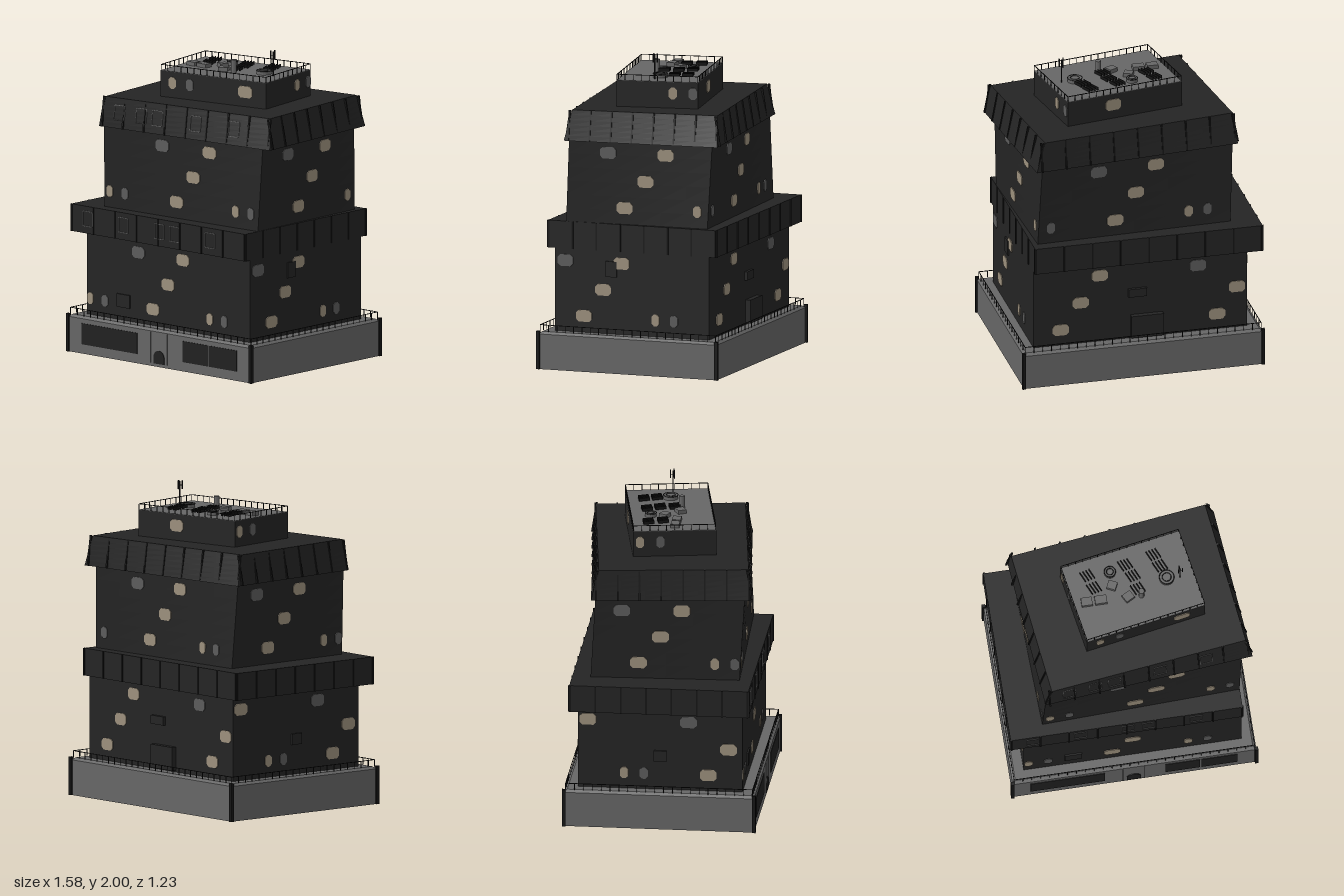
import * as THREE from 'three';

const mat = (name, color) => Object.assign(new THREE.MeshStandardMaterial({ color, flatShading: true }), { name });

export function createModel() {
  const M = {
    body: mat('charcoal wall', 0x242424),
    stone: mat('grey concrete', 0x666666),
    dark: mat('black metal', 0x151515),
    lit: mat('lit window', 0x9c907d),
    dim: mat('dim window', 0x5c5c5c),
    glass: mat('dark glass', 0x202020),
  };
  const root = new THREE.Group();
  const add = (parent, name, geo, m, x = 0, y = 0, z = 0) => {
    const mesh = new THREE.Mesh(geo, m);
    mesh.name = name;
    mesh.position.set(x, y, z);
    parent.add(mesh);
    return mesh;
  };
  const box = (w, h, d) => new THREE.BoxGeometry(w, h, d);

  // A storey runs from section s0 to s1; a section is [cx, cz, width, depth, degrees]
  const storey = (y0, y1, s0, s1 = s0) => ({ y0, y1, s0, s1 });
  const section = (p, y) => {
    const t = (y - p.y0) / (p.y1 - p.y0);
    const [cx, cz, w, d, a] = p.s0.map((v, i) => v + (p.s1[i] - v) * t);
    return { cx, cz, w, d, a: THREE.MathUtils.degToRad(a) };
  };
  const block = (name, p, m, n = 6) => {
    const g = new THREE.BoxGeometry(1, 1, 1, n, n, n);
    const pos = g.attributes.position;
    for (let i = 0; i < pos.count; i++) {
      const y = p.y0 + (pos.getY(i) + 0.5) * (p.y1 - p.y0);
      const s = section(p, y), x = pos.getX(i) * s.w, z = pos.getZ(i) * s.d;
      const c = Math.cos(s.a), k = Math.sin(s.a);
      pos.setXYZ(i, s.cx + x * c + z * k, y, s.cz - x * k + z * c);
    }
    g.computeVertexNormals();
    return add(root, name, g, m);
  };
  // Mount a piece on a wall: side 0 front, 1 at +x, 2 back, 3 at -x
  const mount = (p, side, u, y, name, geo, m) => {
    const s = section(p, y), odd = side % 2;
    const half = (odd ? s.w : s.d) / 2, a = s.a + side * Math.PI / 2;
    const i = odd ? 2 : 3;
    const lean = Math.atan((p.s0[i] - p.s1[i]) / 2 / (p.y1 - p.y0));
    const mesh = add(root, name, geo, m,
      s.cx + u * Math.cos(a) + half * Math.sin(a), y, s.cz - u * Math.sin(a) + half * Math.cos(a));
    mesh.rotation.set(-lean, a, 0, 'YXZ');
    return mesh;
  };

  // Main storeys, twisting more the higher they go
  const base = storey(0, 0.225, [0, 0, 1.56, 1.21, 0]);
  const lower = storey(0.24, 0.77, [0, 0, 1.395, 1.045, 0]);
  const band = storey(0.77, 0.945, [-0.045, 0, 1.485, 1.14, 0]);
  const upper = storey(0.945, 1.475, [0.045, -0.003, 1.27, 0.945, 2], [0.043, 0, 1.27, 0.945, 4.5]);
  const crown = storey(1.475, 1.67, [0.0625, -0.0075, 1.35, 1.008, 5.4], [0.055, -0.005, 1.274, 0.948, 7]);
  const attic = storey(1.67, 1.835, [0.084, -0.0175, 0.79, 0.527, 9.8]);
  block('base', base, M.stone, 1);
  block('baseRim', storey(0.225, 0.24, [0, 0, 1.56, 1.21, 0], [0, 0, 1.52, 1.17, 0]), M.stone, 1);
  block('lowerStorey', lower, M.body, 1);
  block('lowerBand', band, M.body, 1);
  block('upperStorey', upper, M.body);
  block('crownBand', crown, M.body);
  block('rooftopHouse', attic, M.body, 1);
  block('rooftopDeck', storey(1.835, 1.838, attic.s0), M.stone, 1);

  // Corner posts of the base
  for (const x of [-0.78, 0.78]) for (const z of [-0.605, 0.605])
    add(root, 'cornerPost', box(0.022, 0.245, 0.022), M.dark, x, 0.1225, z);

  // Windows: thin plates with clipped corners
  const windowShape = (w, h, c) => {
    const x = w / 2, y = h / 2;
    return new THREE.Shape([[-x + c, -y], [x - c, -y], [x, -y + c], [x, y - c], [x - c, y], [-x + c, y], [-x, y - c], [-x, -y + c]]
      .map(([a, b]) => new THREE.Vector2(a, b)));
  };
  const thin = { depth: 0.005, bevelEnabled: false };
  const wide = new THREE.ExtrudeGeometry(windowShape(0.106, 0.075, 0.018), thin);
  const narrow = new THREE.ExtrudeGeometry(windowShape(0.053, 0.075, 0.016), thin);
  const addWindow = (p, side, u, y, isWide, m) => mount(p, side, u, y, 'window', isWide ? wide : narrow, m);

  // Repeating window pattern: [u, row height, wide, lit]
  const pattern = [
    [-0.255, 0.455, 1, 0], [0.125, 0.455, 1, 1], [0, 0.28, 1, 1],
    [-0.13, 0.105, 1, 1], [0.355, 0.105, 0, 1], [0.48, 0.105, 0, 0],
  ];
  const fillWindows = (p, offsets, period) => offsets.forEach((off, side) => {
    const half = p.s0[side % 2 ? 3 : 2] / 2;
    for (const [u0, dy, w, on] of pattern)
      for (let k = -2; k <= 2; k++) {
        const u = u0 + off + k * period;
        if (Math.abs(u) + (w ? 0.053 : 0.026) < half) addWindow(p, side, u, p.y0 + dy, w, on ? M.lit : M.dim);
      }
  });
  fillWindows(lower, [0, -0.195, -0.39, -0.585], 1.02);
  fillWindows(upper, [0.09, 0.045, 0, -0.045], 1.035);
  for (const [side, u, w, m] of [
    [0, 0.24, 1, M.lit], [0, -0.305, 0, M.lit], [0, -0.175, 0, M.dim], [1, 0.1, 0, M.lit],
    [1, 0.23, 0, M.dim], [2, -0.08, 1, M.lit], [3, -0.22, 0, M.lit], [3, -0.09, 0, M.dim],
  ]) addWindow(attic, side, u, 1.765, w, m);

  // Ribs around both bands
  for (const p of [band, crown]) {
    const y = (p.y0 + p.y1) / 2, s = section(p, y);
    for (let side = 0; side < 4; side++) {
      const len = side % 2 ? s.d : s.w, n = side % 2 ? 7 : 8;
      for (let i = 0; i <= n; i++)
        mount(p, side, (i / n - 0.5) * (len - 0.012), y, 'bandRib', box(0.01, p.y1 - p.y0, 0.012), M.dark);
    }
  }

  // Outlined window frames on the front of the bands
  const frame = windowShape(0.085, 0.1, 0.006);
  frame.holes.push(windowShape(0.077, 0.092, 0.005));
  const frameGeo = new THREE.ExtrudeGeometry(frame, thin);
  for (const x of [-0.645, -0.34, -0.035, 0.095, 0.4])
    mount(band, 0, x + 0.045, 0.865, 'windowFrame', frameGeo, M.dim);
  for (const x of [-0.41, -0.24, -0.115, 0.185, 0.485])
    mount(crown, 0, x - 0.11, 1.575, 'windowFrame', frameGeo, M.dim);

  // Wall boxes and doors on the lower storey
  for (const [side, u, y, w, h, d] of [
    [0, -0.38, 0.365, 0.11, 0.085, 0.02], [1, -0.14, 0.655, 0.075, 0.1, 0.02],
    [2, 0.04, 0.325, 0.21, 0.15, 0.07], [2, -0.02, 0.555, 0.12, 0.055, 0.04],
    [3, 0, 0.465, 0.08, 0.07, 0.03],
  ]) mount(lower, side, u, y, 'wallBox', box(w, h, d), M.body);

  // Shop windows and arched door on the base front
  for (const [u, w] of [[-0.4275, 0.475], [0.308, 0.222], [0.543, 0.232]])
    mount(base, 0, u, 0.128, 'shopWindow', box(w, 0.135, 0.008), M.glass);
  const arch = new THREE.Shape();
  arch.moveTo(-0.045, 0).lineTo(0.045, 0).lineTo(0.045, 0.04);
  arch.absarc(0, 0.04, 0.045, 0, Math.PI);
  mount(base, 0, -0.005, 0.02, 'archedDoor', new THREE.ExtrudeGeometry(arch, thin), M.glass);
  for (const u of [-0.075, 0.065])
    mount(base, 0, u, 0.12, 'doorSurround', box(0.004, 0.2, 0.008), M.dim);

  // Railings
  const railing = (w, d, h, step, t) => {
    const g = new THREE.Group();
    g.name = 'railing';
    for (const [len, off, turn] of [[w, d, 0], [d, w, Math.PI / 2]]) for (const s of [-1, 1]) {
      const run = new THREE.Group();
      run.name = 'railingRun';
      run.rotation.y = turn;
      const n = Math.round(len / step);
      add(run, 'handrail', box(len, t, t), M.dark, 0, h, s * off / 2);
      for (let i = 0; i <= n; i++) add(run, 'railPost', box(t, h, t), M.dark, (i / n - 0.5) * len, h / 2, s * off / 2);
      g.add(run);
    }
    root.add(g);
    return g;
  };
  railing(1.54, 1.19, 0.043, 0.058, 0.004).position.y = 0.24;
  const topRail = railing(0.785, 0.522, 0.038, 0.05, 0.004);
  topRail.position.set(0.084, 1.837, -0.0175);
  topRail.rotation.y = section(attic, 1.7).a;

  // Rooftop equipment
  for (const [x, z, r, w] of [[-0.22, 0.045, 0, 0.07], [-0.13, 0.045, 0, 0.076], [0.045, 0.05, 0.5, 0.062], [-0.045, -0.04, -0.45, 0.058]])
    add(root, 'roofUnit', box(w, 0.026, 0.055), M.stone, x, 1.85, z).rotation.y = r;
  for (const [x, z, r] of [[-0.045, -0.13, 0.036], [0.305, -0.04, 0.047]]) {
    add(root, 'fanBody', new THREE.CylinderGeometry(r, r, 0.024, 20), M.stone, x, 1.849, z);
    for (const k of [1, 0.6])
      add(root, 'fanRing', new THREE.TorusGeometry(r * k, 0.0025, 4, 24), M.dark, x, 1.862, z).rotation.x = Math.PI / 2;
  }
  add(root, 'chimney', new THREE.CylinderGeometry(0.018, 0.018, 0.085, 14), M.stone, 0.13, 1.878, 0.05);
  for (const [x, z] of [[-0.19, -0.13], [-0.16, -0.04], [0.058, -0.165], [0.095, -0.085], [0.113, 0.005], [0.245, -0.205], [0.275, -0.125]])
    for (let i = 0; i < 4; i++) {
      const bar = add(root, 'roofBar', box(0.005, 0.02, 0.07), M.dark, x + (i - 1.5) * 0.02, 1.856, z - (i - 1.5) * 0.005);
      bar.rotation.y = 0.42;
    }

  // Antenna mast with three prongs
  add(root, 'antennaMast', new THREE.CylinderGeometry(0.004, 0.004, 0.16, 8), M.dark, 0.39, 1.915, -0.035);
  for (let i = 0; i < 3; i++) {
    const a = i * Math.PI * 2 / 3 + 0.3, x = 0.39 + Math.cos(a) * 0.016, z = -0.035 + Math.sin(a) * 0.016;
    add(root, 'antennaProng', box(0.007, 0.055, 0.007), M.dark, x, 1.9725, z);
    add(root, 'antennaArm', box(0.02, 0.003, 0.003), M.dark, 0.39 + Math.cos(a) * 0.008, 1.97, -0.035 + Math.sin(a) * 0.008).rotation.y = -a;
  }
  return root;
}
